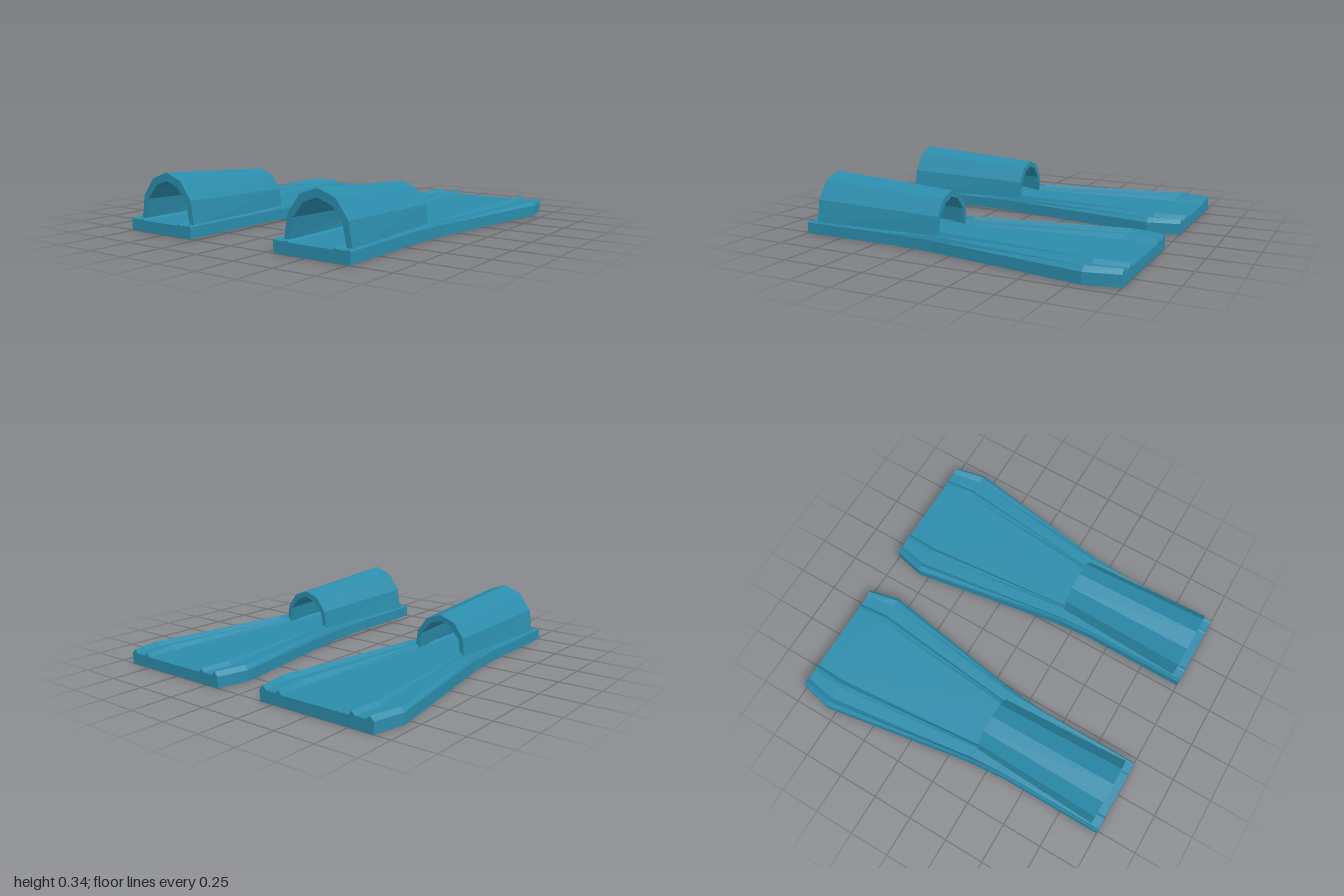
import * as THREE from 'three';

const material = new THREE.MeshStandardMaterial({ color: 0x2b8cab, flatShading: true });

// Skin a row of counter-clockwise outlines, listed front (+z) to back, and cap both ends
function loft(sections) {
  const pos = [];
  const put = (s, i) => pos.push(s.pts[i][0], s.pts[i][1], s.z);
  const n = sections[0].pts.length;
  for (let k = 0; k < sections.length - 1; k++) {
    const f = sections[k], b = sections[k + 1];
    for (let i = 0; i < n; i++) {
      const j = (i + 1) % n;
      put(f, i); put(b, i); put(b, j);
      put(f, i); put(b, j); put(f, j);
    }
  }
  const first = sections[0], last = sections[sections.length - 1];
  for (const [s, flip] of [[first, false], [last, true]]) {
    const outline = s.pts.map(([x, y]) => new THREE.Vector2(x, y));
    for (const [a, b, c] of THREE.ShapeUtils.triangulateShape(outline, [])) {
      put(s, a); put(s, flip ? c : b); put(s, flip ? b : c);
    }
  }
  const geo = new THREE.BufferGeometry();
  geo.setAttribute('position', new THREE.Float32BufferAttribute(pos, 3));
  geo.computeVertexNormals();
  return geo;
}

const mirrored = (half) => half.map(([x, y]) => [-x, y]).reverse();

// Blade outline: flat sole with two raised ribs along each side
const FLOOR = 0.065;
function bladeSection(z, ribTop, xs) {
  const heights = [FLOOR, ribTop, FLOOR + 0.003, FLOOR + 0.003, ribTop, FLOOR];
  const right = [[xs[0], 0], ...xs.map((x, i) => [x, heights[i]])];
  return { z, pts: [...right, ...mirrored(right)] };
}

// Foot pocket outline: a faceted arch, outer skin then inner skin
function archSection(z, outer, inner) {
  const full = (half) => [...half, ...mirrored(half.slice(0, -1))];
  return { z, pts: [...full(outer), ...full(inner).reverse()] };
}

export function createModel() {
  const bladeGeo = loft([
    bladeSection(1.0, 0.075, [0.235, 0.228, 0.217, 0.158, 0.147, 0.133]),
    bladeSection(0.38, 0.075, [0.235, 0.228, 0.217, 0.158, 0.147, 0.133]),
    bladeSection(0.14, 0.09, [0.255, 0.245, 0.232, 0.168, 0.158, 0.145]),
    bladeSection(-0.81, 0.09, [0.412, 0.387, 0.355, 0.275, 0.253, 0.225]),
    bladeSection(-1.0, 0.09, [0.37, 0.348, 0.322, 0.258, 0.238, 0.22]),
  ]);
  const pocketGeo = loft([
    archSection(0.945,
      [[0.21, 0.06], [0.187, 0.2], [0.11, 0.305], [0, 0.345]],
      [[0.178, 0.06], [0.152, 0.183], [0.088, 0.264], [0, 0.297]]),
    archSection(0.145,
      [[0.172, 0.06], [0.158, 0.175], [0.094, 0.262], [0, 0.295]],
      [[0.145, 0.06], [0.13, 0.163], [0.068, 0.235], [0, 0.258]]),
  ]);

  const model = new THREE.Group();
  model.name = 'swimFins';
  for (const [side, x] of [['left', 0.53], ['right', -0.53]]) {
    const fin = new THREE.Group();
    fin.name = side + 'Fin';
    for (const [name, geo] of [['blade', bladeGeo], ['footPocket', pocketGeo]]) {
      const mesh = new THREE.Mesh(geo, material);
      mesh.name = name;
      fin.add(mesh);
    }
    fin.position.x = x;
    model.add(fin);
  }
  return model;
}
